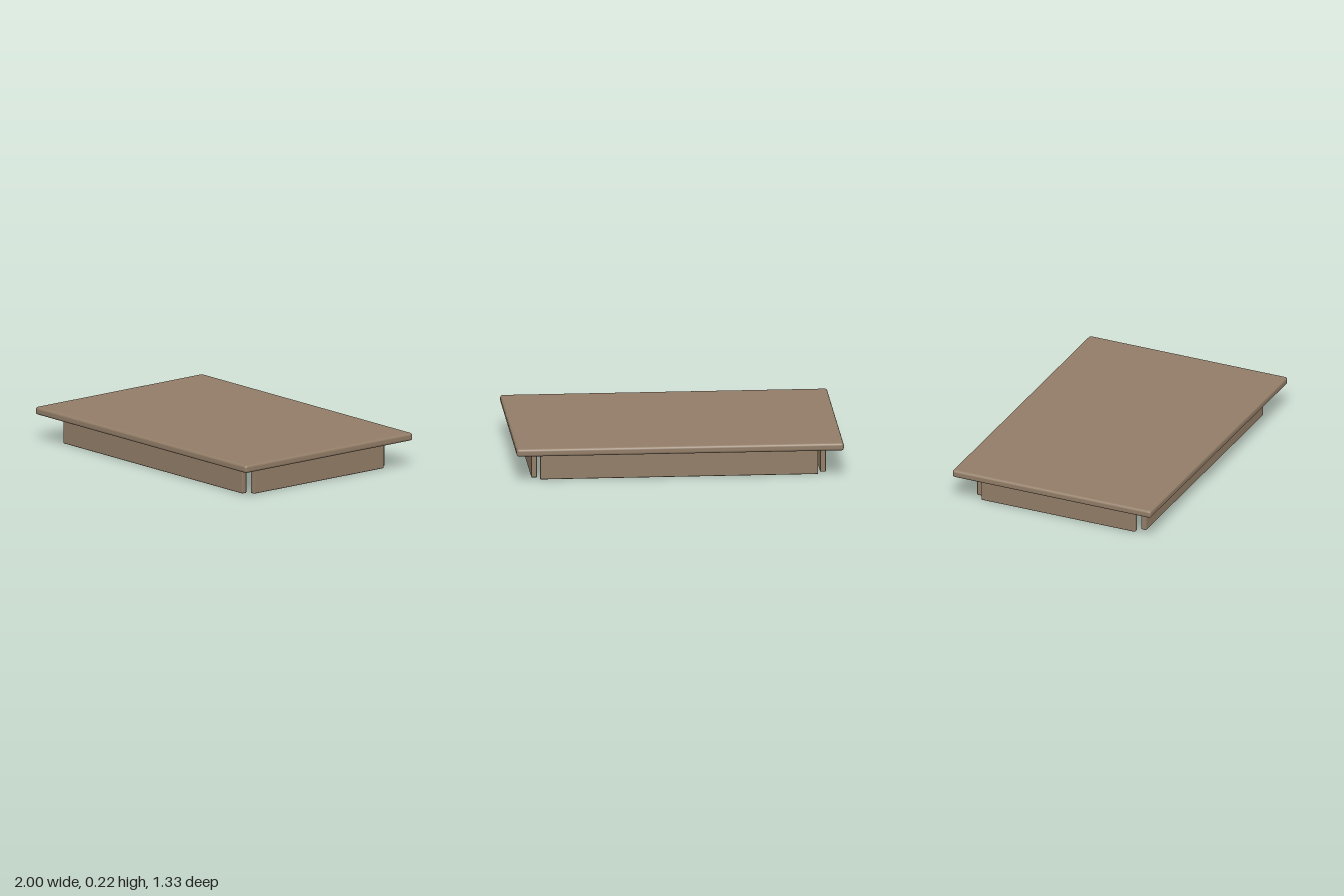
import * as THREE from 'three';
import { RoundedBoxGeometry } from 'three/addons/geometries/RoundedBoxGeometry.js';

export function createModel() {
  const model = new THREE.Group();
  model.name = 'lowTable';
  const wood = new THREE.MeshStandardMaterial({ color: 0x927d67 });
  wood.name = 'brown wood';

  const board = (name, [w, h, d], [x, y, z], radius) => {
    const mesh = new THREE.Mesh(new RoundedBoxGeometry(w, h, d, 3, radius), wood);
    mesh.name = name;
    mesh.position.set(x, y, z);
    model.add(mesh);
  };

  // Overhanging top with softened edges
  board('tableTop', [2, 0.048, 1.333], [0, 0.193, 0], 0.016);

  // Four apron boards, with open gaps at the corners
  for (const s of [1, -1]) {
    board(s > 0 ? 'frontApron' : 'backApron', [1.7, 0.169, 0.035], [0, 0.0845, s * 0.551], 0.006);
    board(s > 0 ? 'leftApron' : 'rightApron', [0.035, 0.169, 1.034], [s * 0.883, 0.0845, 0], 0.006);
  }
  return model;
}
